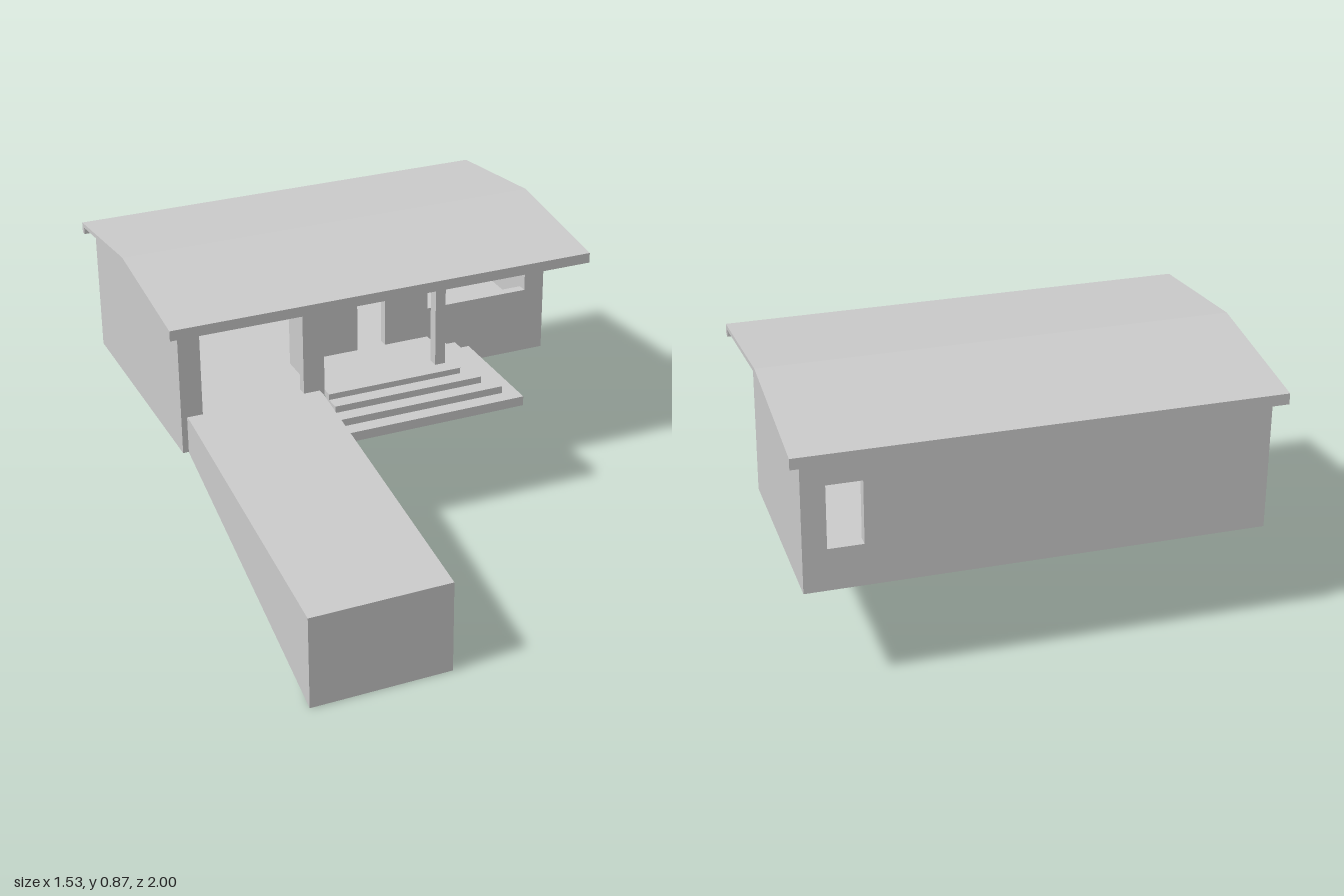
import * as THREE from 'three';

const T = 0.035; // wall thickness
const FLOOR = 0.335, DECK = 0.465;
const RIDGE_Z = -0.51;
// underside of the roof at depth z
const under = (z) => 0.851 - 0.122 * Math.abs(z - RIDGE_Z);

export function createModel() {
  const model = new THREE.Group();
  const mat = new THREE.MeshStandardMaterial({ color: 0xcccccc, flatShading: true });

  const add = (name, geo) => {
    const mesh = new THREE.Mesh(geo, mat);
    mesh.name = name;
    model.add(mesh);
    return mesh;
  };
  // box given by its limits
  const box = (name, x0, x1, y0, y1, z0, z1) =>
    add(name, new THREE.BoxGeometry(x1 - x0, y1 - y0, z1 - z0)
      .translate((x0 + x1) / 2, (y0 + y1) / 2, (z0 + z1) / 2));
  // side profile of [z, y] points, extruded from x0 to x1
  const profile = (name, points, x0, x1) => {
    const shape = new THREE.Shape(points.map(([z, y]) => new THREE.Vector2(-z, y)));
    const geo = new THREE.ExtrudeGeometry(shape, { depth: x1 - x0, bevelEnabled: false });
    return add(name, geo.rotateY(Math.PI / 2).translate(x0, 0, 0));
  };
  // upright wall facing z with one optional opening [x0, x1, y0, y1]
  const rect = (Type, x0, x1, y0, y1) => new Type([
    new THREE.Vector2(x0, y0), new THREE.Vector2(x1, y0),
    new THREE.Vector2(x1, y1), new THREE.Vector2(x0, y1)]);
  const wall = (name, x0, x1, top, zFront, openings) => {
    const shape = rect(THREE.Shape, x0, x1, FLOOR, top);
    for (const o of openings) shape.holes.push(rect(THREE.Path, ...o));
    const geo = new THREE.ExtrudeGeometry(shape, { depth: T, bevelEnabled: false });
    return add(name, geo.translate(0, 0, zFront - T));
  };
  // wall running back to front whose top follows the roof
  const sideWall = (name, zFront, zBack, x0) => {
    const points = [[zFront, FLOOR], [zFront, under(zFront)]];
    if (zBack < RIDGE_Z) points.push([RIDGE_Z, under(RIDGE_Z)]);
    points.push([zBack, under(zBack)], [zBack, FLOOR]);
    return profile(name, points, x0, x0 + T);
  };

  // Floor slabs of the L-shaped house
  box('mainFloor', -0.71, 0.71, FLOOR - 0.003, DECK, -0.94, -0.3);
  box('garageFloor', -0.71, -0.235, FLOOR - 0.003, DECK, -0.3, -0.06);

  // Walls
  sideWall('garageSideWall', -0.055, -0.96, -0.73);
  sideWall('porchSideWall', -0.055, -0.285, -0.22 - T);
  sideWall('houseSideWall', -0.285, -0.96, 0.73 - T);
  wall('garageFrontWall', -0.73, -0.22, under(-0.055), -0.055,
    [[-0.655, -0.295, DECK, 0.765]]);
  wall('houseFrontWall', -0.22, 0.73, under(-0.285), -0.285,
    [[0, 0.105, DECK, 0.67], [0.27, 0.655, 0.575, 0.74]]);
  wall('backWall', -0.73, 0.73, under(-0.96), -0.96 + T,
    [[0.543, 0.655, 0.475, 0.685]]);

  // Low gable roof with an edge board at each eave
  const roofT = 0.015, zF = -0.02, zB = -1;
  profile('roof', [
    [zF, under(zF)], [zF, under(zF) + roofT], [RIDGE_Z, under(RIDGE_Z) + roofT],
    [zB, under(zB) + roofT], [zB, under(zB)], [RIDGE_Z, under(RIDGE_Z)]], -0.765, 0.765);
  box('frontEaveBoard', -0.765, 0.765, 0.77, 0.802, zF - 0.022, zF);
  box('backEaveBoard', -0.765, 0.765, 0.77, 0.802, zB, zB + 0.022);

  // Porch post
  box('porchPost', 0.2, 0.237, DECK, under(-0.09), -0.11, -0.07);

  // Porch deck and the hollow steps wrapping its front and side
  box('porchDeck', -0.22, 0.27, 0.444, DECK, -0.285, -0.015);
  const levels = [0.444, 0.42, 0.394, 0.36];
  for (let i = 1; i < 4; i++) {
    const x = 0.27 + i * 0.055, z = -0.015 + i * 0.053, w = 0.085;
    box('stepFront', -0.22, x, levels[i], levels[i - 1], z - w, z);
    box('stepSide', x - w, x, levels[i], levels[i - 1], -0.285, z - w);
  }

  // Entrance ramp
  profile('ramp', [[1, 0], [1, 0.32], [-0.02, DECK], [-0.06, DECK], [-0.06, FLOOR]],
    -0.71, -0.237);

  return model;
}
